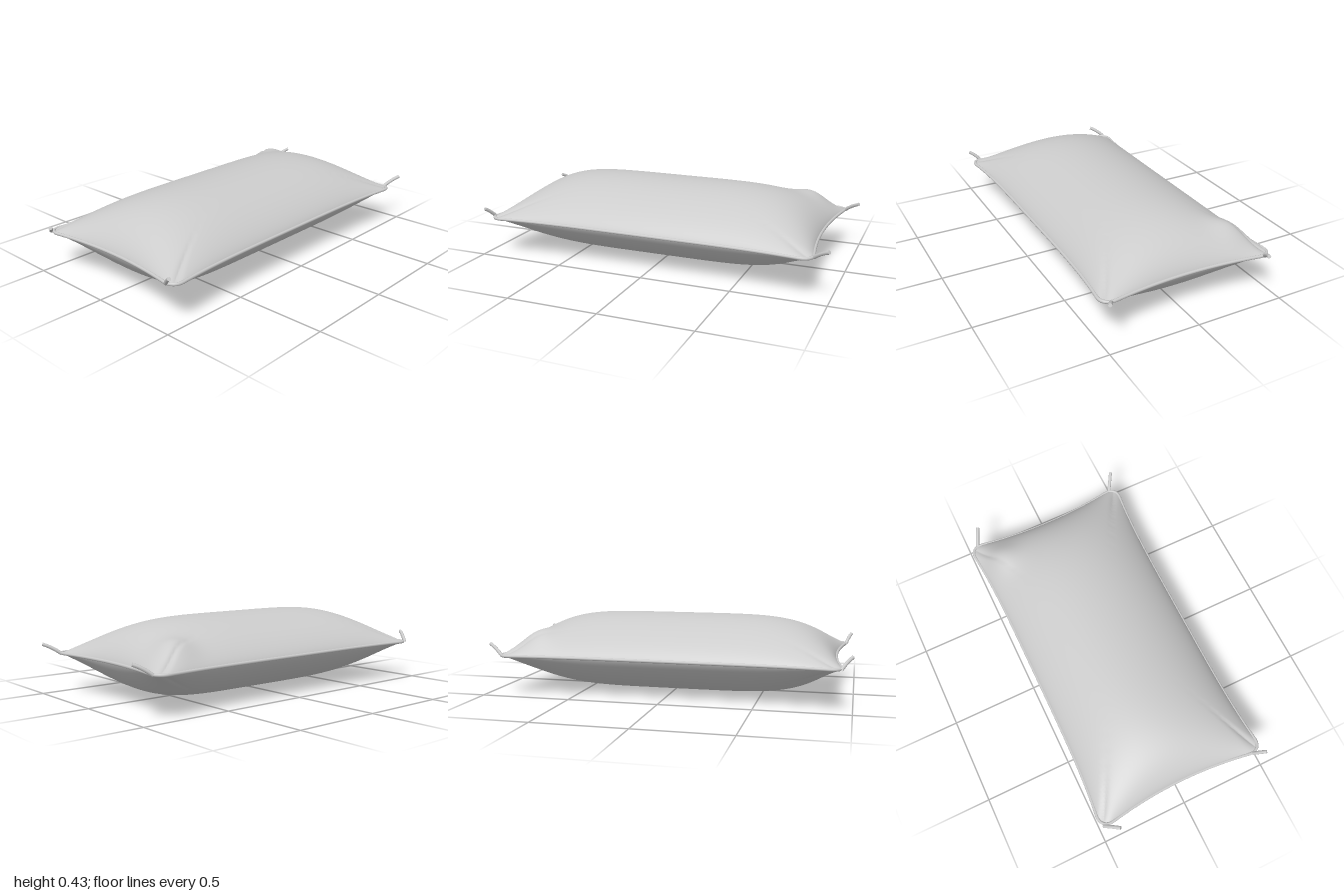
import * as THREE from 'three';

const SEAM_Y = 0.225;
const material = new THREE.MeshStandardMaterial({ color: 0xcccccc, side: THREE.DoubleSide });

// Maps the square [-1,1]² to a rectangle with rounded corners and bowed-in sides
function plan(u, v) {
  const m = Math.max(Math.abs(u), Math.abs(v));
  const a = 0.938, b = 0.5, r = 0.08 * m ** 4;
  let x = Math.abs(u) * a, z = Math.abs(v) * b;
  const cx = m * a - r, cz = m * b - r;
  const ox = x - cx, oz = z - cz;
  if (ox > 0 && oz > 0) {
    const k = r / Math.hypot(ox, oz);
    x = cx + ox * k;
    z = cz + oz * k;
  }
  const s = x / a, t = z / b;
  return [
    -0.017 + Math.sign(u) * x * (1 - 0.057 * (1 - t * t)),
    -0.003 + Math.sign(v) * z * (1 - 0.078 * (1 - s ** 4)),
  ];
}

// Puffed height above the seam, zero at the rim
function puff(u, v) {
  const fx = Math.max(0, 1 - Math.abs(u) ** 5) ** 0.75;
  const fz = Math.max(0, 1 - v * v) ** 0.75;
  return fx * fz;
}

// One half of the cover: side +1 is the top, -1 the bottom
function coverHalf(side, name) {
  const nx = 96, nz = 64, positions = [], index = [];
  const grade = (i, n) => Math.sin((i / n - 0.5) * Math.PI);
  for (let j = 0; j <= nz; j++) {
    for (let i = 0; i <= nx; i++) {
      const u = grade(i, nx), v = grade(j, nz);
      const [x, z] = plan(u, v);
      let h = (side > 0 ? 0.212 : 0.222) * puff(u, v);
      // plumper fold near the back left corner of the top
      if (side > 0) {
        const d = ((x - 0.74) ** 2 + (z + 0.37) ** 2) / (0.11 ** 2);
        h += 0.055 * Math.exp(-d) * (1 - u ** 8) * (1 - v ** 8);
      }
      positions.push(x, SEAM_Y + side * h, z);
    }
  }
  for (let j = 0; j < nz; j++) {
    for (let i = 0; i < nx; i++) {
      const p = j * (nx + 1) + i, q = p + nx + 1;
      if (side > 0) index.push(p, q, p + 1, p + 1, q, q + 1);
      else index.push(p, p + 1, q, p + 1, q + 1, q);
    }
  }
  const geometry = new THREE.BufferGeometry();
  geometry.setAttribute('position', new THREE.Float32BufferAttribute(positions, 3));
  geometry.setIndex(index);
  geometry.computeVertexNormals();
  const mesh = new THREE.Mesh(geometry, material);
  mesh.name = name;
  return mesh;
}

// Piping sewn around the rim
function piping() {
  const points = [], n = 48;
  const corners = [[-1, -1], [1, -1], [1, 1], [-1, 1]];
  corners.forEach(([u0, v0], c) => {
    const [u1, v1] = corners[(c + 1) % 4];
    for (let i = 0; i < n; i++) {
      const t = 0.5 - 0.5 * Math.cos((i / n) * Math.PI);
      const [x, z] = plan(u0 + (u1 - u0) * t, v0 + (v1 - v0) * t);
      points.push(new THREE.Vector3(x, SEAM_Y, z));
    }
  });
  const curve = new THREE.CatmullRomCurve3(points, true);
  const mesh = new THREE.Mesh(new THREE.TubeGeometry(curve, 320, 0.009, 8, true), material);
  mesh.name = 'piping';
  return mesh;
}

// Short cord end curling up from a corner
function cornerCord(x0, z0, x1, z1, name) {
  const curve = new THREE.QuadraticBezierCurve3(
    new THREE.Vector3(x0, SEAM_Y, z0),
    new THREE.Vector3((x0 + x1) / 2, 0.262, (z0 + z1) / 2),
    new THREE.Vector3(x1, 0.278, z1)
  );
  const group = new THREE.Group();
  group.name = name;
  group.add(new THREE.Mesh(new THREE.TubeGeometry(curve, 10, 0.01, 8), material));
  // flat cut end
  const cap = new THREE.Mesh(new THREE.CircleGeometry(0.01, 8), material);
  cap.position.copy(curve.getPoint(1));
  cap.lookAt(cap.position.clone().add(curve.getTangent(1)));
  group.add(cap);
  return group;
}

export function createModel() {
  const pillow = new THREE.Group();
  pillow.name = 'pillow';
  pillow.add(
    coverHalf(1, 'topCover'),
    coverHalf(-1, 'bottomCover'),
    piping(),
    cornerCord(0.91, 0.445, 0.995, 0.497, 'frontLeftCord'),
    cornerCord(0.91, -0.45, 0.995, -0.405, 'backLeftCord'),
    cornerCord(-0.945, 0.435, -0.975, 0.495, 'frontRightCord'),
    cornerCord(-0.94, -0.48, -0.993, -0.405, 'backRightCord')
  );
  return pillow;
}
